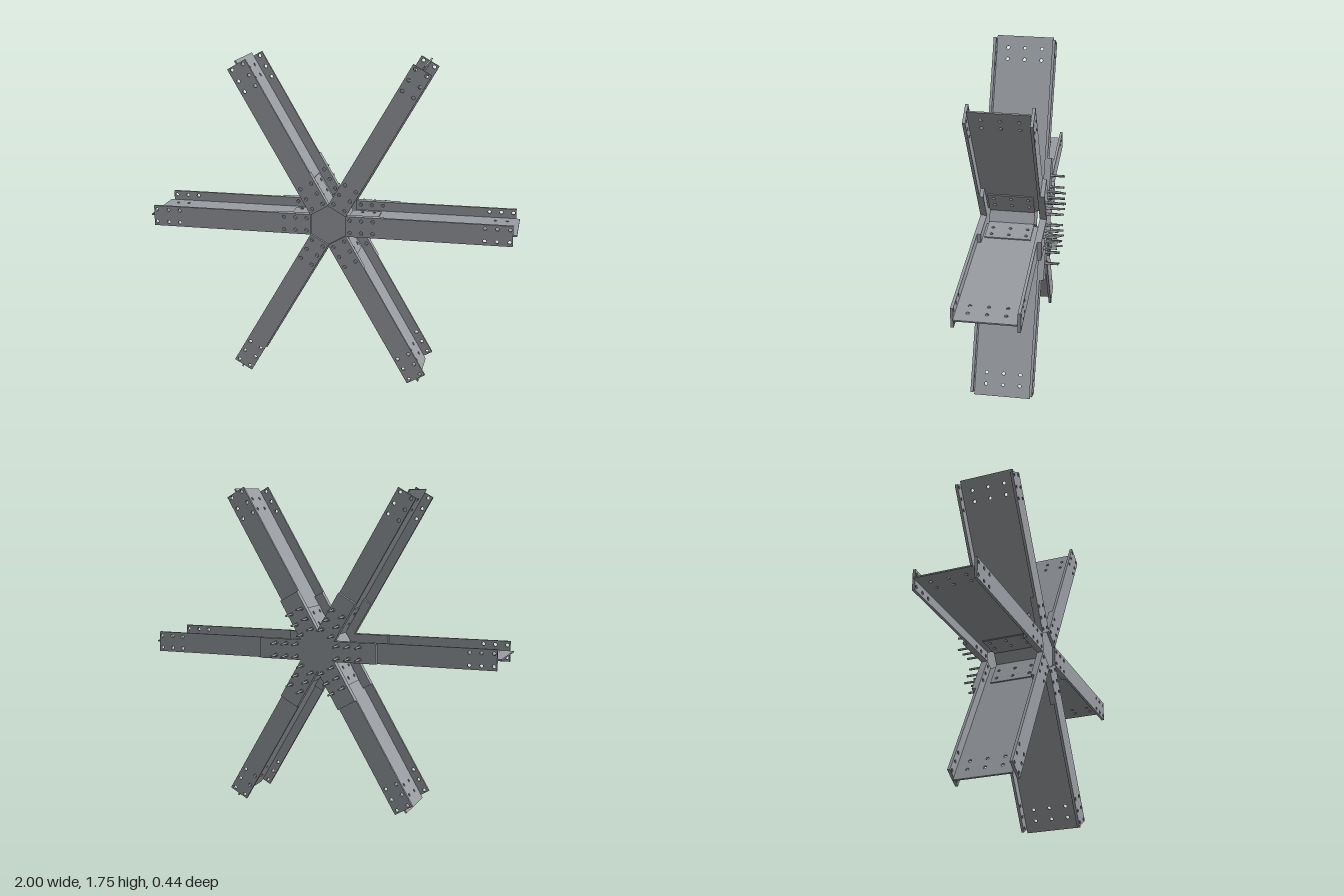
import * as THREE from 'three';

const steel = new THREE.MeshStandardMaterial({ color: 0x999da2 });
steel.name = 'steel grey';

const HALF = 0.056;      // half width of flanges and star plates
const CENTRE_Y = 0.88;

function add(parent, geometry, name, x = 0, y = 0, z = 0) {
  const mesh = new THREE.Mesh(geometry, steel);
  mesh.name = name;
  mesh.position.set(x, y, z);
  parent.add(mesh);
  return mesh;
}

// Flat drilled plate in the XY plane, thickness centred on z = 0
function drilledPlate(x0, x1, y0, y1, thickness, columns, rows, radius) {
  const shape = new THREE.Shape([
    new THREE.Vector2(x0, y0), new THREE.Vector2(x1, y0),
    new THREE.Vector2(x1, y1), new THREE.Vector2(x0, y1)]);
  for (const x of columns) for (const y of rows) {
    shape.holes.push(new THREE.Path().absarc(x, y, radius, 0, Math.PI * 2, true));
  }
  return new THREE.ExtrudeGeometry(shape, { depth: thickness, bevelEnabled: false, curveSegments: 7 })
    .translate(0, 0, -thickness / 2);
}

// Six-armed gusset plate in one piece
function starPlate(length, thickness) {
  const points = [];
  for (let k = 0; k < 6; k++) {
    const a = k * Math.PI / 3;
    const at = (x, y) => new THREE.Vector2(
      x * Math.cos(a) - y * Math.sin(a), x * Math.sin(a) + y * Math.cos(a));
    points.push(at(length, -HALF), at(length, HALF), at(HALF / Math.tan(Math.PI / 6), HALF));
  }
  return new THREE.ExtrudeGeometry(new THREE.Shape(points), { depth: thickness, bevelEnabled: false })
    .translate(0, 0, -thickness / 2);
}

export function createModel() {
  const model = new THREE.Group();
  model.name = 'sixWayBeamJoint';
  const joint = new THREE.Group();
  joint.name = 'joint';
  joint.position.y = CENTRE_Y;
  model.add(joint);

  const hubColumns = [0.118, 0.18, 0.242];
  const flangeRows = [-0.034, 0.034];
  const webRows = [-0.047, 0.047, 0.141];

  const flange = drilledPlate(0.094, 0.98, -HALF, HALF, 0.015,
    [...hubColumns, 0.834, 0.898, 0.964], flangeRows, 0.0095);
  const web = drilledPlate(0.094, 1, -0.108, 0.204, 0.008,
    [0.14, 0.206, 0.872, 0.935], webRows, 0.009).rotateX(Math.PI / 2);
  const splice = drilledPlate(0.08, 0.242, -0.075, 0.173, 0.006,
    [0.14, 0.206], webRows, 0.009).rotateX(Math.PI / 2);
  const bend = new THREE.BoxGeometry(0.006, 0.07, 0.248);
  const shank = new THREE.CylinderGeometry(0.006, 0.006, 0.1, 10).rotateX(Math.PI / 2);
  const nut = new THREE.CylinderGeometry(0.011, 0.011, 0.009, 6).rotateX(Math.PI / 2);

  // Gusset plates: behind the front flanges and outside the rear flanges
  add(joint, starPlate(0.296, 0.02), 'frontStarPlate', 0, 0, 0.193);
  add(joint, starPlate(0.336, 0.022), 'rearStarPlate', 0, 0, -0.134);

  for (let k = 0; k < 6; k++) {
    // Beam: two flanges and a web
    const arm = new THREE.Group();
    arm.name = 'beam' + (k + 1);
    arm.rotation.z = k * Math.PI / 3;
    joint.add(arm);
    add(arm, flange, 'frontFlange', 0, 0, 0.2105);
    add(arm, flange, 'rearFlange', 0, 0, -0.1155);
    add(arm, web, 'web');

    // Web splice plates on both sides
    for (const side of [-1, 1]) add(arm, splice, 'splicePlate', 0, side * 0.007, 0);

    // Rear bolts
    for (const x of hubColumns) for (const y of flangeRows) {
      add(arm, shank, 'boltShank', x, y, -0.168);
      add(arm, nut, 'boltNut', x, y, -0.1495);
    }

    // Bent middle joining the splice plates of neighbouring beams
    const sector = new THREE.Group();
    sector.name = 'spliceBend' + (k + 1);
    sector.rotation.z = (k + 0.5) * Math.PI / 3;
    joint.add(sector);
    add(sector, bend, 'bendPlate', 0.072, 0, 0.049);
  }
  return model;
}
